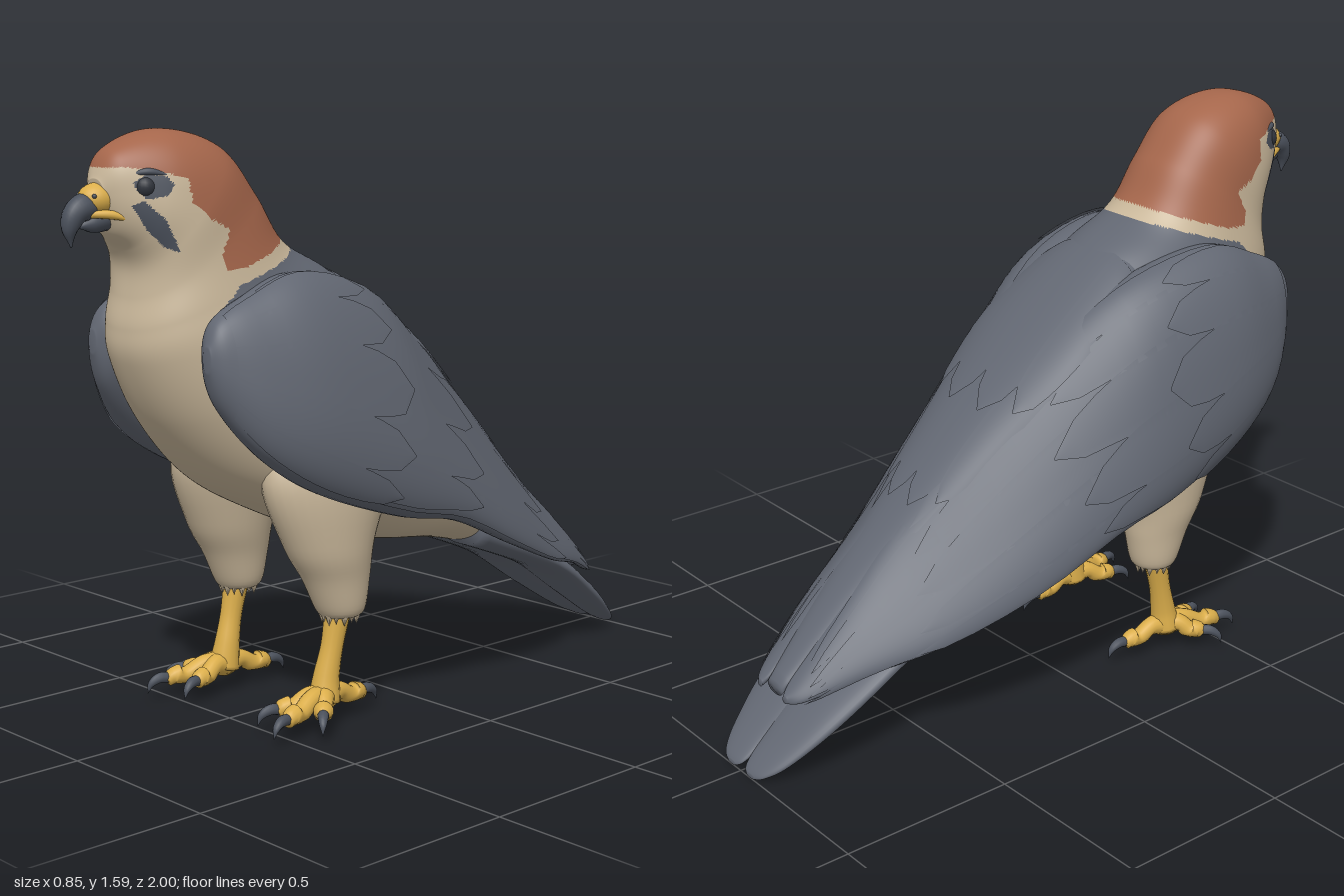
import * as THREE from 'three';
import { mergeGeometries } from 'three/addons/utils/BufferGeometryUtils.js';

const mat = (name, color, side = THREE.FrontSide) => new THREE.MeshStandardMaterial({ name, color, side });
const V = (x, y, z) => new THREE.Vector3(x, y, z);

// Smooth interpolation between rows of numbers; u runs from 0 to rows.length - 1
function at(S, u) {
  const i = Math.min(Math.floor(u), S.length - 2), t = u - i;
  const a = S[Math.max(i - 1, 0)], b = S[i], c = S[i + 1], d = S[Math.min(i + 2, S.length - 1)];
  return b.map((_, k) => b[k] + 0.5 * t * (c[k] - a[k] +
    t * (2 * a[k] - 5 * b[k] + 4 * c[k] - d[k] + t * (3 * (b[k] - c[k]) + d[k] - a[k]))));
}

// Point on a loft. Section: [lowZ, lowY, topZ, topY, halfWidth, centreX, lean]
function surf(S, p, u, t, side = 1) {
  const [z0, y0, z1, y1, hw, cx = 0, lean = 0] = at(S, u);
  const pow = (v) => Math.sign(v) * Math.abs(v) ** (2 / p);
  const c = pow(Math.cos(t)), s = pow(Math.sin(t));
  return V(side * (cx + hw * s + lean * c), (y0 + y1) / 2 + c * (y1 - y0) / 2, (z0 + z1) / 2 + c * (z1 - z0) / 2);
}

// Closed skin over rings of points, wound outward; pick(y, z) chooses a material slot
function skin(rings, pick = () => 0) {
  const n = rings[0].length, pts = rings.flat(), tris = [];
  for (let i = 0; i < rings.length - 1; i++) for (let j = 0; j < n; j++) {
    const a = i * n + j, b = i * n + (j + 1) % n;
    tris.push([a, b, a + n], [b, b + n, a + n]);
  }
  for (const [r, flip] of [[0, false], [rings.length - 1, true]]) {
    const c = pts.length, mid = V(0, 0, 0);
    rings[r].forEach((q) => mid.addScaledVector(q, 1 / n));
    pts.push(mid);
    for (let j = 0; j < n; j++) {
      const a = r * n + j, b = r * n + (j + 1) % n;
      tris.push(flip ? [c, a, b] : [c, b, a]);
    }
  }
  let vol = 0;
  const cross = V(0, 0, 0);
  for (const [a, b, c] of tris) vol += pts[a].dot(cross.crossVectors(pts[b], pts[c]));
  const lists = [];
  for (const [a, b, c] of tris) {
    const m = pick((pts[a].y + pts[b].y + pts[c].y) / 3, (pts[a].z + pts[b].z + pts[c].z) / 3);
    (lists[m] ??= []).push(...(vol > 0 ? [a, b, c] : [a, c, b]));
  }
  const g = new THREE.BufferGeometry().setFromPoints(pts), index = [];
  lists.forEach((l, m) => { g.addGroup(index.length, l.length, m); for (const v of l) index.push(v); });
  g.setIndex(index);
  g.computeVertexNormals();
  return g;
}

function loft(S, { p = 2, side = 1, steps = 6, round = 32, pick } = {}) {
  const rings = [], total = (S.length - 1) * steps;
  for (let i = 0; i <= total; i++) {
    rings.push(Array.from({ length: round }, (_, j) => surf(S, p, i / steps, j / round * Math.PI * 2, side)));
  }
  return skin(rings, pick);
}

// Tapered tube through points with one radius per point
function taper(points, radii, steps = 20, round = 14) {
  const curve = new THREE.CatmullRomCurve3(points), f = curve.computeFrenetFrames(steps), rings = [];
  const R = radii.map((r) => [r]);
  for (let i = 0; i <= steps; i++) {
    const c = curve.getPoint(i / steps), r = at(R, i / steps * (radii.length - 1))[0];
    rings.push(Array.from({ length: round }, (_, j) => {
      const t = j / round * Math.PI * 2;
      return c.clone().addScaledVector(f.normals[i], r * Math.cos(t)).addScaledVector(f.binormals[i], r * Math.sin(t));
    }));
  }
  return skin(rings);
}

// Thin round-ended feather lying on a loft, lifting toward its tip
function feather(S, p, u0, u1, t, dt, off, side) {
  const g = new THREE.PlaneGeometry(1, 1, 8, 12), P = g.attributes.position;
  for (let i = 0; i < P.count; i++) {
    const a = 0.5 - P.getY(i), w = dt * Math.max(0.03, Math.sqrt(1 - a ** 6));
    const tt = t + w * P.getX(i) * 2, q = surf(S, p, u0 + (u1 - u0) * a, tt, side), o = off * (0.2 + 0.8 * a);
    P.setXYZ(i, q.x + side * Math.sin(tt) * o, q.y + Math.cos(tt) * o, q.z);
  }
  g.computeVertexNormals();
  return g;
}

function inside(poly, z, y) {
  let hit = false;
  poly.forEach(([az, ay], i) => {
    const [bz, by] = poly[(i + 1) % poly.length];
    if ((ay > y) !== (by > y) && z < (bz - az) * (y - ay) / (by - ay) + az) hit = !hit;
  });
  return hit;
}

const BODY = [
  [0.895, 1.39, 0.91, 1.47, 0.035], [0.87, 1.335, 0.865, 1.545, 0.079], [0.83, 1.29, 0.72, 1.59, 0.138],
  [0.81, 1.24, 0.56, 1.55, 0.168], [0.815, 1.17, 0.45, 1.43, 0.178], [0.83, 1.09, 0.36, 1.3, 0.2],
  [0.82, 1.0, 0.2, 1.21, 0.23], [0.74, 0.84, 0, 1.05, 0.26], [0.6, 0.68, -0.2, 0.84, 0.275],
  [0.42, 0.57, -0.33, 0.69, 0.27], [0.15, 0.46, -0.42, 0.57, 0.235], [-0.15, 0.41, -0.48, 0.49, 0.185],
  [-0.36, 0.36, -0.53, 0.42, 0.13],
];
const WING = [
  [0.755, 1.0, 0.755, 1.06, 0.015, 0.24, 0], [0.72, 0.9, 0.72, 1.125, 0.053, 0.24, -0.01],
  [0.62, 0.77, 0.62, 1.175, 0.088, 0.258, -0.035], [0.45, 0.66, 0.45, 1.225, 0.125, 0.262, -0.05],
  [0.2, 0.57, 0.2, 1.17, 0.125, 0.26, -0.08], [0, 0.53, 0, 1.037, 0.1, 0.243, -0.115],
  [-0.25, 0.42, -0.25, 0.828, 0.075, 0.206, -0.13], [-0.5, 0.32, -0.5, 0.588, 0.052, 0.155, -0.11],
  [-0.7, 0.26, -0.7, 0.4, 0.04, 0.115, -0.06], [-0.85, 0.2, -0.85, 0.25, 0.03, 0.075, -0.02],
  [-0.89, 0.19, -0.89, 0.21, 0.01, 0.06, 0],
];
const MANTLE = [
  [0.32, 1.05, 0.32, 1.25, 0.13], [0.2, 0.95, 0.2, 1.208, 0.21], [0, 0.8, 0, 1.065, 0.24],
  [-0.25, 0.58, -0.25, 0.84, 0.185], [-0.5, 0.42, -0.5, 0.598, 0.125], [-0.7, 0.29, -0.7, 0.412, 0.083],
  [-0.88, 0.19, -0.88, 0.23, 0.035],
];
const TAIL = [
  [-0.3, 0.37, -0.3, 0.5, 0.1, 0.08, -0.01], [-0.6, 0.25, -0.6, 0.33, 0.125, 0.088, -0.015],
  [-0.8, 0.12, -0.8, 0.19, 0.105, 0.08, -0.01], [-0.93, 0.035, -0.93, 0.08, 0.072, 0.065, -0.005],
  [-0.985, 0.006, -0.985, 0.03, 0.045, 0.052, 0], [-1, 0, -1, 0.012, 0.018, 0.046, 0],
];
const THIGH = [
  [0.12, 0.85, 0.46, 0.85, 0.07, 0.16], [0.1, 0.68, 0.525, 0.68, 0.11, 0.19], [0.18, 0.5, 0.46, 0.5, 0.1, 0.205],
  [0.2, 0.4, 0.4, 0.4, 0.082, 0.21], [0.22, 0.31, 0.355, 0.31, 0.066, 0.213], [0.25, 0.29, 0.33, 0.29, 0.035, 0.213],
];
// Side outlines (z, y) of the plumage colours on the body
const CAP = [[1, 1.49], [0.87, 1.5], [0.8, 1.49], [0.73, 1.47], [0.725, 1.41], [0.68, 1.37], [0.62, 1.34], [0.65, 1.28],
  [0.64, 1.24], [0.58, 1.245], [0.47, 1.28], [0.37, 1.315], [0.3, 1.7], [1, 1.7]];
const BACK = [[0.66, 1.15], [0.61, 1.2], [0.48, 1.24], [0.34, 1.285], [-1, 1.3], [-1, 0.46], [-0.42, 0.46], [0, 0.72], [0.5, 0.95]];
const CHEEK = [[0.858, 1.405], [0.835, 1.418], [0.79, 1.37], [0.755, 1.29], [0.785, 1.3], [0.825, 1.345]];
const EYE_PATCH = [[0.855, 1.46], [0.82, 1.485], [0.78, 1.475], [0.765, 1.455], [0.785, 1.43], [0.83, 1.42]];

export function createModel() {
  const grey = mat('slate plumage', 0x626772, THREE.DoubleSide), cream = mat('cream plumage', 0xcab89b);
  const rust = mat('rust cap', 0xa5664b), yellow = mat('yellow skin', 0xdbae4b);
  const horn = mat('dark horn', 0x4b515c), eyeMat = mat('eye', 0x30343c);
  const root = new THREE.Group();
  root.name = 'falcon';
  const add = (name, geo, material, parent = root) => {
    const m = new THREE.Mesh(geo, material);
    m.name = name;
    parent.add(m);
    return m;
  };

  // Head and body in one skin, coloured by plumage area
  const pick = (y, z) => inside(CAP, z, y) ? 1 : inside(BACK, z, y) ? 2 :
    inside(CHEEK, z, y) || inside(EYE_PATCH, z, y) ? 3 : 0;
  add('headAndBody', loft(BODY, { p: 2.35, steps: 20, round: 160, pick }), [cream, rust, grey, horn]);

  // Back shield with two layers of rounded feathers
  add('mantle', loft(MANTLE, { p: 2.2, round: 48 }), grey);
  const backFeathers = [];
  for (const [u0, u1, off] of [[0.8, 3.05, 0.013], [2, 3.95, 0.009]]) {
    for (const t of [-0.8, -0.28, 0.28, 0.8]) {
      backFeathers.push(feather(MANTLE, 2.2, u0, u1 - Math.abs(t) * 0.35, t, 0.36, off, 1));
    }
  }
  add('mantleFeathers', mergeGeometries(backFeathers), grey);

  // Beak and cere
  const beak = taper([V(0, 1.4, 0.9), V(0, 1.402, 0.94), V(0, 1.385, 0.968), V(0, 1.35, 0.983), V(0, 1.305, 0.98)],
    [0.03, 0.035, 0.031, 0.021, 0.002]);
  add('upperBeak', beak, horn);
  add('lowerBeak', taper([V(0, 1.375, 0.87), V(0, 1.362, 0.92), V(0, 1.355, 0.955)], [0.032, 0.025, 0.006]), horn);
  const cere = add('cere', new THREE.SphereGeometry(1, 24, 16), yellow);
  cere.scale.set(0.046, 0.042, 0.055);
  cere.position.set(0, 1.42, 0.897);

  for (const s of [1, -1]) {
    const half = new THREE.Group();
    half.name = s > 0 ? 'leftSide' : 'rightSide';
    root.add(half);
    const put = (name, geo, m) => add(name, geo, m, half);

    put('eye', new THREE.SphereGeometry(0.03, 20, 14), eyeMat).position.set(s * 0.088, 1.45, 0.818);
    put('brow', taper([V(s * 0.066, 1.478, 0.862), V(s * 0.102, 1.488, 0.818), V(s * 0.128, 1.478, 0.77)], [0.004, 0.009, 0.003]), horn);
    put('mouthCorner', taper([V(s * 0.022, 1.385, 0.935), V(s * 0.047, 1.383, 0.89), V(s * 0.072, 1.37, 0.85)], [0.009, 0.011, 0.005]), yellow);
    put('nostril', new THREE.SphereGeometry(0.006, 8, 6), horn).position.set(s * 0.034, 1.43, 0.932);

    // Folded wing with overlapping feather rows, longest lowest
    put('wing', loft(WING, { p: 2.3, side: s, steps: 8, round: 48 }), grey);
    const rows = [[5, 8.9, 5, 0.005], [3.4, 7.2, 5, 0.008], [2.2, 5.6, 5, 0.011], [1.2, 4.1, 5, 0.014]];
    const feathers = rows.flatMap(([u0, u1, n, off], r) => Array.from({ length: n }, (_, i) => {
      const t = 0.35 + (i + (r % 2) * 0.25) / (n - 0.5) * 2.2;
      return feather(WING, 2.3, u0, u1 + (r < 2 ? 0.12 * (i - 2) : -0.15 * Math.abs(i - 2)), t, 1.4 / n, off + i * 0.0006, s);
    }));
    put('wingFeathers', mergeGeometries(feathers), grey);
    put('tail', loft(TAIL, { side: s, p: 2.2 }), grey);

    // Leg with feathered thigh and ragged cuff
    put('thigh', loft(THIGH, { side: s }), cream);
    const cuff = Array.from({ length: 14 }, (_, i) => {
      const t = i / 14 * Math.PI * 2;
      return new THREE.ConeGeometry(0.018, 0.045, 6).rotateX(Math.PI)
        .translate(s * 0.213 + Math.cos(t) * 0.046, 0.3 - (i % 2) * 0.006, 0.288 + Math.sin(t) * 0.05);
    });
    put('thighCuff', mergeGeometries(cuff), cream);
    put('shank', taper([V(s * 0.213, 0.36, 0.285), V(s * 0.213, 0.22, 0.315), V(s * 0.21, 0.13, 0.335), V(s * 0.212, 0.065, 0.345)],
      [0.04, 0.031, 0.036, 0.044]), yellow);

    // Toes and talons: tip x, tip z
    for (const [x, z] of [[0.255, 0.515], [0.172, 0.475], [0.292, 0.42], [0.2, 0.195]]) {
      const foot = V(s * 0.212, 0.075, 0.345), tip = V(s * x, 0.05, z), d = tip.clone().sub(foot).setY(0).normalize();
      const mid = (k, y) => foot.clone().lerp(tip, k).setY(y);
      put('toe', taper([foot, mid(0.35, 0.083), mid(0.65, 0.06), mid(0.85, 0.065), tip],
        [0.036, 0.027, 0.025, 0.027, 0.017], 24), yellow);
      const step = (k, y) => tip.clone().addScaledVector(d, k).setY(y);
      put('talon', taper([step(-0.012, 0.058), step(0.022, 0.062), step(0.048, 0.048), step(0.058, 0.022)],
        [0.015, 0.015, 0.01, 0.001], 12, 10), horn);
    }
  }
  return root;
}
